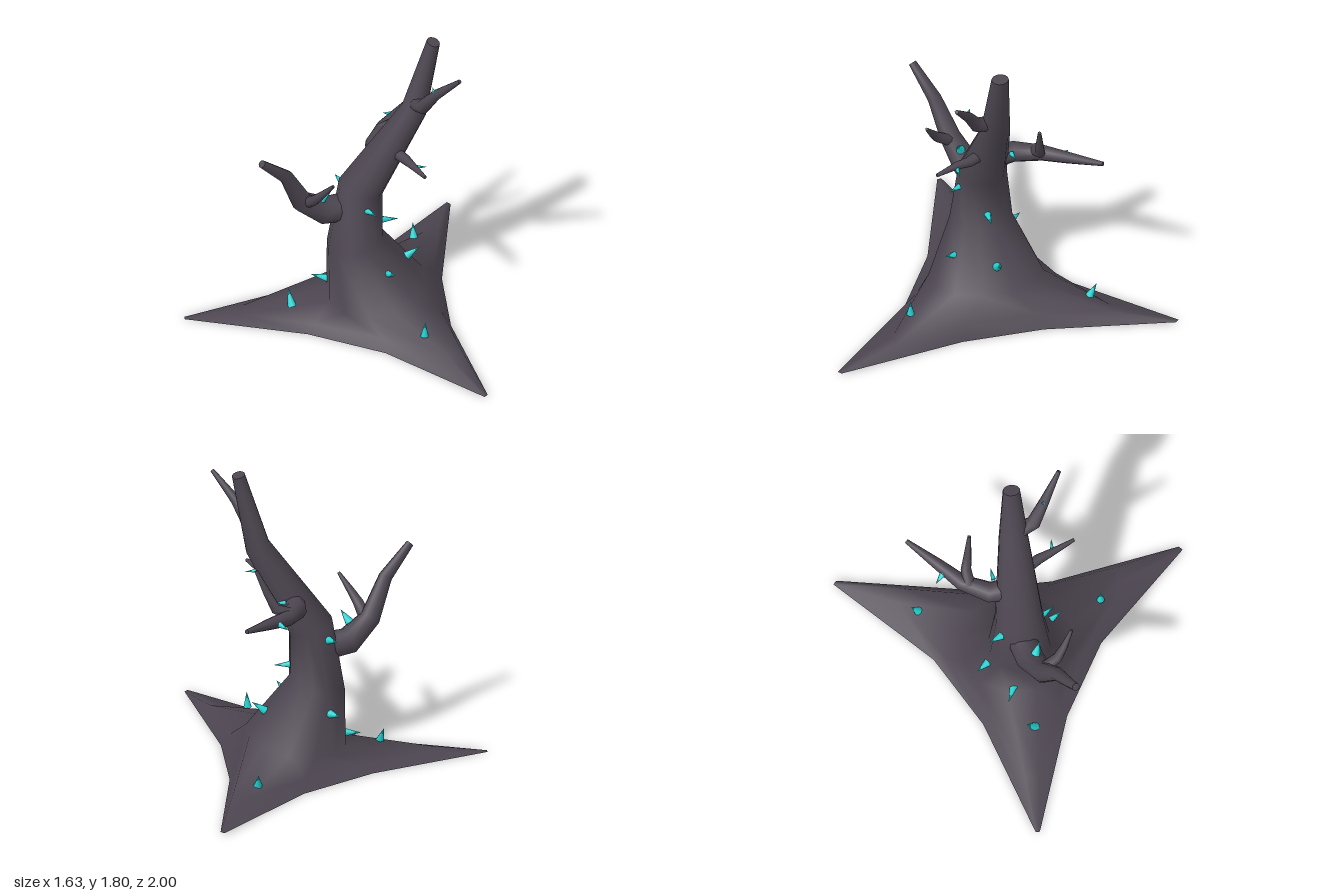
import * as THREE from 'three';

const bark = new THREE.MeshStandardMaterial({ color: 0x4d4651, side: THREE.DoubleSide });
bark.name = 'dark bark';
const crystal = new THREE.MeshStandardMaterial({ color: 0x24d2d2 });
crystal.name = 'cyan crystal';

const V = (p) => new THREE.Vector3(...p);

// Smooth skin over closed rings of points, with a flat cap on the last ring
function loft(rings) {
  const n = rings[0].length;
  const pos = [];
  const idx = [];
  rings.forEach((ring) => ring.forEach((p) => pos.push(p.x, p.y, p.z)));
  for (let i = 0; i < rings.length - 1; i++) {
    for (let j = 0; j < n; j++) {
      const a = i * n + j;
      const b = i * n + ((j + 1) % n);
      idx.push(a, b, a + n, b, b + n, a + n);
    }
  }
  const last = rings[rings.length - 1];
  const start = pos.length / 3;
  last.forEach((p) => pos.push(p.x, p.y, p.z));
  for (let j = 1; j < n - 1; j++) idx.push(start, start + j, start + j + 1);
  const geo = new THREE.BufferGeometry();
  geo.setAttribute('position', new THREE.Float32BufferAttribute(pos, 3));
  geo.setIndex(idx);
  geo.computeVertexNormals();
  return geo;
}

// Trunk ring: ellipse about (cx, cy), tilted so that y changes by slope * dx
function trunkRing(cx, cy, rx, rz, slope) {
  return Array.from({ length: 12 }, (_, j) => {
    const a = ((15 + 30 * j) * Math.PI) / 180;
    const dx = rx * Math.cos(a);
    return new THREE.Vector3(cx + dx, cy + slope * dx, -rz * Math.sin(a));
  });
}

// Root ring: half outline mirrored across z
function rootRing(half) {
  const back = half.map(([x, y, z]) => new THREE.Vector3(x, y, -z));
  const front = half.map(V).reverse();
  return [...back, ...front];
}

// Tapered, bent limb; each row is x, y, z, radius
function limb(rows, sides = 10) {
  const pts = rows.map(V);
  const u = new THREE.Vector3(0.31, 0.2, 0.93);
  const rings = pts.map((p, i) => {
    const t = pts[Math.min(i + 1, pts.length - 1)].clone().sub(pts[Math.max(i - 1, 0)]).normalize();
    u.addScaledVector(t, -u.dot(t)).normalize();
    const v = t.clone().cross(u);
    return Array.from({ length: sides }, (_, j) => {
      const a = (j / sides) * Math.PI * 2;
      return p.clone()
        .addScaledVector(u, Math.cos(a) * rows[i][3])
        .addScaledVector(v, Math.sin(a) * rows[i][3]);
    });
  });
  return loft(rings);
}

// Cone from a base point to a tip point
function spike(base, tip, r) {
  const a = V(base);
  const dir = V(tip).sub(a);
  const len = dir.length();
  const mesh = new THREE.Mesh(new THREE.ConeGeometry(r, len, 8), crystal);
  mesh.position.copy(a).addScaledVector(dir, 0.5);
  mesh.quaternion.setFromUnitVectors(new THREE.Vector3(0, 1, 0), dir.normalize());
  return mesh;
}

export function createModel() {
  const group = new THREE.Group();
  const add = (name, geo) => {
    const mesh = new THREE.Mesh(geo, bark);
    mesh.name = name;
    group.add(mesh);
  };

  // Hollow trunk flaring into three pointed roots
  add('trunk', loft([
    rootRing([[0.68, 0, 0.24], [0.81, 0.01, 0.98], [0.79, 0.01, 1], [0.28, 0, 0.48], [-0.14, 0, 0.24], [-0.82, 0, 0.012]]),
    rootRing([[0.63, 0.08, 0.21], [0.7, 0.08, 0.62], [0.62, 0.06, 0.64], [0.26, 0.06, 0.41], [-0.1, 0.04, 0.2], [-0.5, 0.03, 0.04]]),
    trunkRing(0.275, 0.155, 0.285, 0.33, 0.16),
    trunkRing(0.155, 0.48, 0.16, 0.18, 0.19),
    trunkRing(0.19, 0.835, 0.125, 0.14, -0.29),
    trunkRing(0.495, 1.34, 0.067, 0.085, -0.46),
    trunkRing(0.605, 1.79, 0.037, 0.05, -0.25),
  ]));

  // Branches and twigs
  add('leftBranch', limb([[0.12, 0.7, 0, 0.085], [-0.03, 0.71, 0.04, 0.08], [-0.16, 0.82, 0.1, 0.06], [-0.255, 1.04, 0.17, 0.04], [-0.405, 1.2, 0.262, 0.023]]));
  add('leftTwig', limb([[-0.13, 0.82, 0.11, 0.035], [-0.1, 0.88, 0.19, 0.03], [-0.06, 0.94, 0.23, 0.022], [0.002, 1.03, 0.28, 0.009]]));
  add('upperFrontBranch', limb([[0.5, 1.4, 0.03, 0.045], [0.53, 1.43, 0.12, 0.042], [0.6, 1.55, 0.185, 0.03], [0.725, 1.7, 0.285, 0.012]]));
  add('lowerFrontBranch', limb([[0.37, 1.09, 0.04, 0.036], [0.43, 1.09, 0.14, 0.03], [0.46, 1.1, 0.22, 0.022], [0.52, 1.1, 0.35, 0.01]]));
  add('backBranch', limb([[0.3, 1, -0.04, 0.07], [0.29, 1.005, -0.16, 0.06], [0.36, 1.02, -0.31, 0.046], [0.47, 1.045, -0.43, 0.034], [0.62, 1.08, -0.6, 0.013]]));
  add('backTwig', limb([[0.33, 1.03, -0.27, 0.036], [0.42, 1.07, -0.28, 0.03], [0.47, 1.17, -0.265, 0.022], [0.53, 1.3, -0.25, 0.01]]));

  // Crystal spikes: base, tip, radius
  const spikes = new THREE.Group();
  spikes.name = 'crystalSpikes';
  [
    [[-0.21, 0.07, 0.05], [-0.228, 0.17, 0], 0.026],
    [[0.01, 0.18, -0.05], [-0.09, 0.19, -0.09], 0.025],
    [[-0.04, 0.81, 0.07], [0.01, 0.88, 0.1], 0.027],
    [[0.2, 0.75, 0.12], [0.26, 0.755, 0.21], 0.022],
    [[0.3, 0.595, 0], [0.405, 0.595, 0], 0.022],
    [[0.31, 0.34, 0.17], [0.36, 0.38, 0.265], 0.027],
    [[0.45, 0.32, -0.02], [0.53, 0.38, -0.02], 0.027],
    [[0.5, 0.115, 0.5], [0.505, 0.21, 0.5], 0.023],
    [[0.55, 0.09, -0.54], [0.55, 0.17, -0.58], 0.025],
    [[0.1, 0.36, -0.19], [0.05, 0.365, -0.255], 0.025],
    [[0.1, 0.785, -0.11], [0.06, 0.8, -0.185], 0.024],
    [[0.35, 1.04, -0.13], [0.42, 1.045, -0.14], 0.015],
    [[0.42, 1.035, -0.41], [0.365, 1.015, -0.46], 0.02],
    [[0.47, 1.09, 0.22], [0.545, 1.085, 0.22], 0.014],
    [[0.595, 1.56, 0.19], [0.58, 1.595, 0.17], 0.016],
  ].forEach(([base, tip, r]) => spikes.add(spike(base, tip, r)));
  group.add(spikes);

  return group;
}
